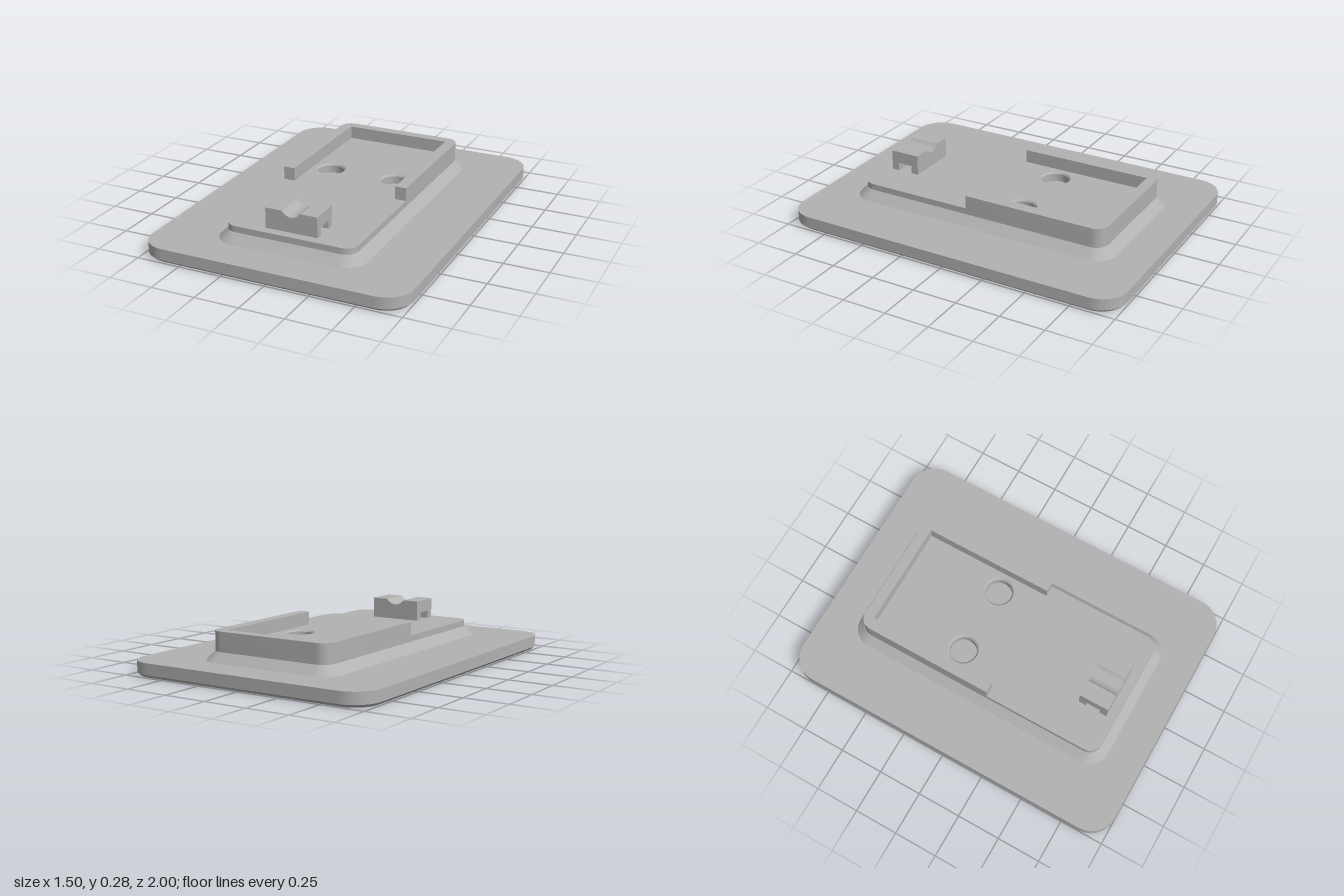
import * as THREE from 'three';
import { mergeGeometries, toCreasedNormals } from 'three/addons/utils/BufferGeometryUtils.js';

const SEG = 10; // segments per rounded corner

// Counter-clockwise rounded rectangle, plan y = -z
function roundedRect(hw, hd, r) {
  const pts = [];
  [[1, 1], [-1, 1], [-1, -1], [1, -1]].forEach(([sx, sy], q) => {
    for (let i = 0; i <= SEG; i++) {
      const a = (q + i / SEG) * Math.PI / 2;
      pts.push(new THREE.Vector2(sx * (hw - r) + r * Math.cos(a), sy * (hd - r) + r * Math.sin(a)));
    }
  });
  return pts;
}

function circle(x, y, r, n = 40) {
  return Array.from({ length: n }, (_, i) => {
    const a = i / n * Math.PI * 2;
    return new THREE.Vector2(x + r * Math.sin(a), y + r * Math.cos(a));
  });
}

// Flat horizontal face at a height, optionally pierced or facing down
function cap(pts, y, holes = [], down = false) {
  const shape = new THREE.Shape(pts);
  shape.holes = holes.map(h => new THREE.Path(h));
  const g = new THREE.ShapeGeometry(shape).rotateX(-Math.PI / 2);
  if (down) g.scale(1, -1, 1).setIndex([...g.index.array].reverse());
  g.translate(0, y, 0);
  g.deleteAttribute('uv');
  const flat = g.toNonIndexed();
  flat.computeVertexNormals();
  return flat;
}

// Side walls through stacked rounded rectangles [halfWidth, halfDepth, radius, y]
function walls(sections) {
  const pos = [], idx = [];
  const n = 4 * (SEG + 1);
  sections.forEach(([hw, hd, r, y]) => roundedRect(hw, hd, r).forEach(p => pos.push(p.x, y, -p.y)));
  for (let s = 0; s < sections.length - 1; s++) {
    for (let i = 0; i < n; i++) {
      const a = s * n + i, b = s * n + (i + 1) % n;
      idx.push(a, b, b + n, a, b + n, a + n);
    }
  }
  const g = new THREE.BufferGeometry();
  g.setAttribute('position', new THREE.Float32BufferAttribute(pos, 3));
  g.setIndex(idx);
  g.computeVertexNormals();
  return toCreasedNormals(g, 0.5);
}

export function createModel() {
  const model = new THREE.Group();
  const grey = new THREE.MeshStandardMaterial({ color: 0xb2b2b2 });
  grey.name = 'plain grey';
  const add = (name, geometry, parent = model) => {
    const m = new THREE.Mesh(geometry, grey);
    m.name = name;
    parent.add(m);
    return m;
  };

  // Base plate with a chamfered lower edge
  add('basePlate', mergeGeometries([
    walls([[0.733, 0.983, 0.133, 0], [0.75, 1, 0.15, 0.016], [0.75, 1, 0.15, 0.08]]),
    cap(roundedRect(0.733, 0.983, 0.133), 0, [], true),
    cap(roundedRect(0.75, 1, 0.15), 0.08),
  ]));

  // Raised pedestal with a sloping skirt and two round openings
  const holeX = 0.2, holeZ = -0.18, holeR = 0.085, top = 0.165;
  add('pedestal', mergeGeometries([
    walls([[0.425, 0.8, 0.12, 0.08], [0.375, 0.75, 0.07, 0.13], [0.375, 0.75, 0.07, top]]),
    cap(roundedRect(0.375, 0.75, 0.07), top, [-1, 1].map(s => circle(s * holeX, -holeZ, holeR))),
  ]));

  // Blind holes with a small chamfer
  const pit = [[holeR, top], [0.076, top - 0.01], [0.076, 0.11], [0, 0.11]];
  const pitGeometry = toCreasedNormals(
    new THREE.LatheGeometry(pit.map(p => new THREE.Vector2(...p)), 40), 0.5);
  for (const s of [-1, 1]) {
    add(s > 0 ? 'leftHole' : 'rightHole', pitGeometry).position.set(s * holeX, 0, holeZ);
  }

  // U-shaped rim around the back, open towards the front
  const rim = new THREE.Shape();
  rim.moveTo(0.31, -0.07).lineTo(0.375, -0.07).lineTo(0.375, 0.68);
  rim.absarc(0.305, 0.68, 0.07, 0, Math.PI / 2);
  rim.lineTo(-0.305, 0.75);
  rim.absarc(-0.305, 0.68, 0.07, Math.PI / 2, Math.PI);
  rim.lineTo(-0.375, -0.07).lineTo(-0.31, -0.07).lineTo(-0.31, 0.69).lineTo(0.31, 0.69);
  const rimGeometry = new THREE.ExtrudeGeometry(rim, { depth: 0.075, bevelEnabled: false, curveSegments: SEG });
  add('backRim', toCreasedNormals(rimGeometry.rotateX(-Math.PI / 2), 0.5)).position.y = top;

  // Front bridge: grooved top block on two feet
  const bridge = new THREE.Group();
  bridge.name = 'frontBridge';
  model.add(bridge);
  const block = new THREE.Shape();
  const gr = 0.0654, cy = 0.3154, ang = Math.asin(0.055 / gr);
  block.moveTo(-0.15, 0.21).lineTo(0.15, 0.21).lineTo(0.15, 0.28).lineTo(0.055, 0.28);
  block.absarc(0, cy, gr, -Math.PI / 2 + ang, -Math.PI / 2 - ang, true);
  block.lineTo(-0.15, 0.28);
  const blockGeometry = new THREE.ExtrudeGeometry(block, { depth: 0.172, bevelEnabled: false, curveSegments: 16 });
  add('groovedBlock', toCreasedNormals(blockGeometry, 0.4), bridge).position.z = 0.526;
  for (const [z0, z1] of [[0.526, 0.57], [0.655, 0.698]]) {
    add('foot', new THREE.BoxGeometry(0.3, 0.045, z1 - z0), bridge)
      .position.set(0, 0.1875, (z0 + z1) / 2);
  }
  return model;
}
